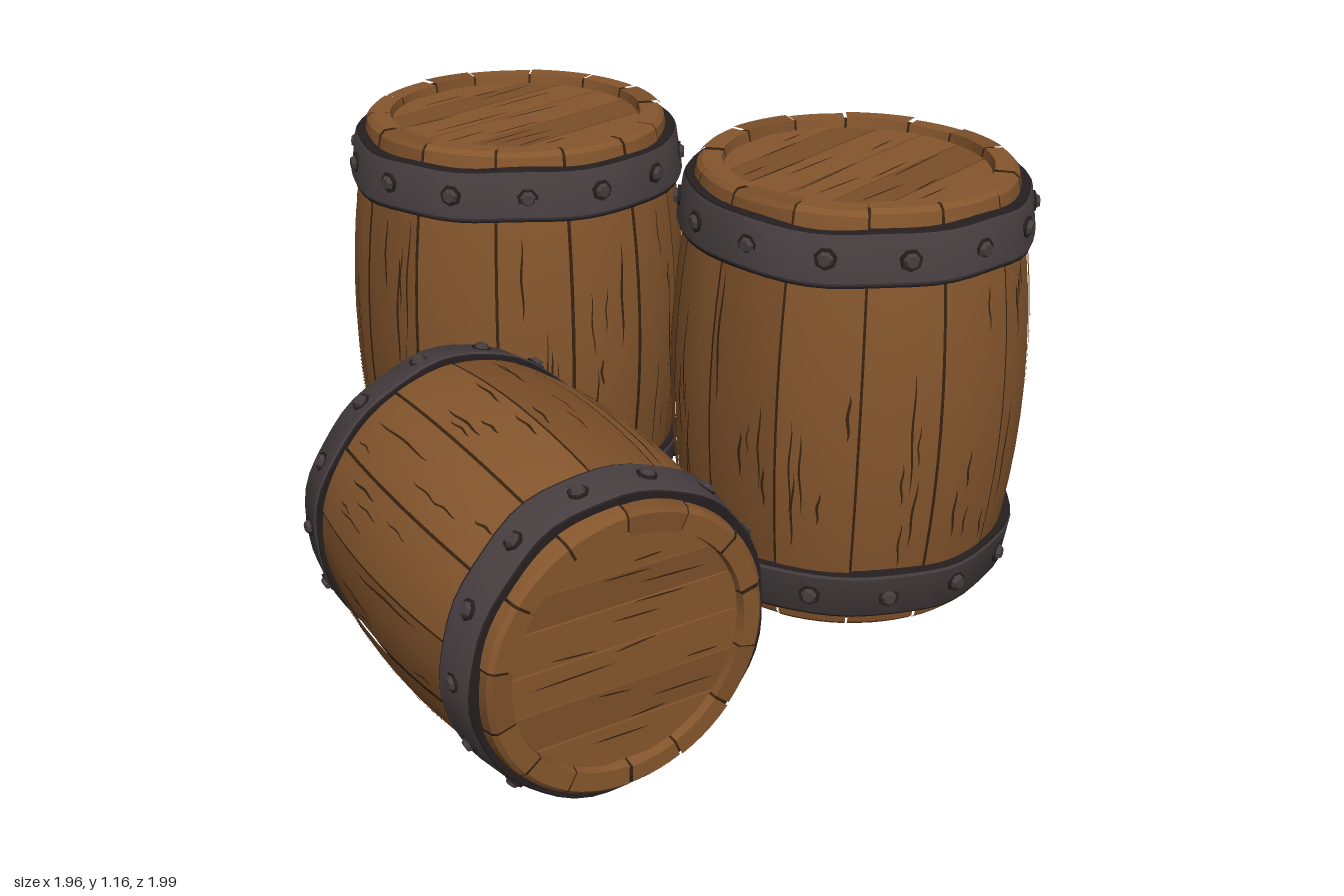
import * as THREE from 'three';
import { mergeGeometries, toCreasedNormals } from 'three/addons/utils/BufferGeometryUtils.js';

const mat = (name, color, side = THREE.FrontSide) => {
  const m = new THREE.MeshStandardMaterial({ color, side });
  m.name = name;
  return m;
};

const HALF = 0.5725;      // half the barrel height
const STAVES = 14;
const LID_R = 0.338;      // radius of the recessed lid
const LID_Y = 0.545;      // height of the lid surface

// Bulging outline of the barrel
const bulge = (y) => 0.473 - 0.066 * (y / HALF) ** 2;

function seeded(seed) {
  let s = seed;
  return () => {
    s = (s * 16807) % 2147483647;
    return s / 2147483647;
  };
}

function mesh(name, geometry, material) {
  const m = new THREE.Mesh(geometry, material);
  m.name = name;
  return m;
}

// Thin ribbon that tapers to both ends; place(t, side) gives a point
function ribbon(place, n = 6) {
  const pos = [], index = [];
  for (let i = 0; i <= n; i++) {
    const t = i / n, w = Math.sin(Math.PI * t) ** 0.6;
    pos.push(...place(t, -w), ...place(t, w));
    if (i < n) index.push(2 * i, 2 * i + 1, 2 * i + 2, 2 * i + 1, 2 * i + 3, 2 * i + 2);
  }
  const g = new THREE.BufferGeometry();
  g.setAttribute('position', new THREE.Float32BufferAttribute(pos, 3));
  g.setIndex(index);
  g.computeVertexNormals();
  return g;
}

// Closed outline of a stave, with rims at both ends
function staveProfile(inset, half, rimInner, lidY) {
  const pts = [[rimInner, -lidY], [rimInner + 0.008, -half], [bulge(half) - inset - 0.01, -half]];
  for (let i = 0; i <= 12; i++) {
    const y = (half - 0.012) * (i / 6 - 1);
    pts.push([bulge(y) - inset, y]);
  }
  pts.push([bulge(half) - inset - 0.01, half], [rimInner + 0.008, half], [rimInner, lidY]);
  return pts.map(([x, y]) => new THREE.Vector2(x, y));
}

// Lid board: slice of a disc between two parallel cuts
function boardGeometry(z0, z1) {
  const r = LID_R + 0.004, a0 = Math.asin(z0 / r), a1 = Math.asin(z1 / r), pts = [];
  for (let i = 0; i <= 8; i++) {
    const a = a0 + (a1 - a0) * i / 8;
    pts.push(new THREE.Vector2(r * Math.cos(a), r * Math.sin(a)));
  }
  for (let i = 8; i >= 0; i--) pts.push(new THREE.Vector2(-pts[i].x, pts[i].y));
  const g = new THREE.ExtrudeGeometry(new THREE.Shape(pts), { depth: 0.012, bevelEnabled: false });
  return g.rotateX(-Math.PI / 2).translate(0, LID_Y - 0.012, 0);
}

// Hammered look: gentle waves in height and radius around a hoop
function hammer(g, phase) {
  const p = g.attributes.position;
  for (let i = 0; i < p.count; i++) {
    const a = Math.atan2(p.getX(i), p.getZ(i));
    const k = 1 + 0.006 * Math.sin(5 * a + phase) + 0.004 * Math.sin(11 * a + 2 * phase);
    const dy = 0.004 * Math.sin(4 * a + phase) + 0.003 * Math.sin(9 * a - phase);
    p.setXYZ(i, p.getX(i) * k, p.getY(i) + dy, p.getZ(i) * k);
  }
  g.computeVertexNormals();
  return toCreasedNormals(g, 0.5);
}

function hoop(mats, side, phase) {
  const group = new THREE.Group();
  group.name = side > 0 ? 'upperHoop' : 'lowerHoop';
  const lathe = (pts) => {
    const list = pts.map(([r, y]) => new THREE.Vector2(r, side * y));
    if (side < 0) list.reverse();
    return hammer(new THREE.LatheGeometry(list, 56), phase);
  };
  group.add(mesh('hoopFace', lathe([[0.459, 0.398], [0.462, 0.405], [0.445, 0.516], [0.441, 0.522]]), mats.iron));
  // Dark edges of the iron
  group.add(mesh('hoopInnerEdge', lathe([[0.42, 0.392], [0.457, 0.392], [0.459, 0.398]]), mats.ironEdge));
  group.add(mesh('hoopOuterEdge', lathe([[0.441, 0.522], [0.438, 0.527], [0.4, 0.527]]), mats.ironEdge));
  // Faceted rivets with a dark foot
  for (let i = 0; i < STAVES; i++) {
    const a = (i + 0.45) / STAVES * Math.PI * 2;
    const rivet = new THREE.Group();
    rivet.name = 'rivet';
    const foot = mesh('rivetFoot', new THREE.CylinderGeometry(0.028, 0.029, 0.008, 7), mats.ironEdge);
    const head = mesh('rivetHead', toCreasedNormals(new THREE.CylinderGeometry(0.015, 0.025, 0.018, 7), 0.3), mats.iron);
    foot.position.y = 0.001;
    head.position.y = 0.007;
    rivet.add(foot, head);
    rivet.rotation.set(Math.PI / 2, 0, -a, 'ZXY');
    rivet.rotation.set(Math.PI / 2, a, 0, 'YXZ');
    rivet.position.set(0.453 * Math.sin(a), side * 0.46, 0.453 * Math.cos(a));
    group.add(rivet);
  }
  return group;
}

function lid(mats, rnd) {
  const group = new THREE.Group();
  group.name = 'lid';
  const cuts = [-0.337, -0.215, -0.1, 0.02, 0.14, 0.235, 0.337];
  for (let i = 0; i < cuts.length - 1; i++) {
    group.add(mesh('lidBoard', boardGeometry(cuts[i] + 0.0025, cuts[i + 1] - 0.0025), i % 3 === 1 ? mats.woodDark : mats.wood));
  }
  // Grain cracks along the boards
  const cracks = [];
  for (let i = 0; i < 13; i++) {
    const z = -0.28 + 0.56 * (i + rnd() * 0.6) / 13, reach = Math.sqrt(0.32 ** 2 - z * z);
    const len = reach * (0.35 + 0.6 * rnd()), x0 = -reach + rnd() * (2 * reach - len);
    const slope = (rnd() - 0.5) * 0.03;
    cracks.push(ribbon((t, s) => [x0 + len * t, LID_Y + 0.002, z + slope * t + s * 0.0025]));
  }
  group.add(mesh('lidCracks', mergeGeometries(cracks), mats.groove));
  return group;
}

function barrel(name, mats, seed) {
  const group = new THREE.Group();
  group.name = name;
  const rnd = seeded(seed);

  // Dark core seen in the gaps between the staves
  const core = staveProfile(0.012, 0.56, LID_R + 0.008, 0.53);
  core.unshift(new THREE.Vector2(0, -0.53));
  core.push(new THREE.Vector2(0, 0.53));
  group.add(mesh('core', toCreasedNormals(new THREE.LatheGeometry(core, 56), 0.6), mats.groove));

  const cracks = [];
  const step = Math.PI * 2 / STAVES;
  let start = 0;
  for (let i = 0; i < STAVES; i++) {
    // Staves of slightly uneven width, depth and length
    const end = (i + 1) * step + (i < STAVES - 1 ? (rnd() - 0.5) * 0.1 : 0);
    const inset = (rnd() - 0.5) * 0.008, half = HALF - rnd() * 0.007;
    const gap = 0.007 + rnd() * 0.004;
    const g = new THREE.LatheGeometry(staveProfile(inset, half, LID_R, 0.53), 5, start + gap, end - start - 2 * gap);
    group.add(mesh('stave', toCreasedNormals(g, 0.6), i % 4 === 2 ? mats.woodDark : mats.wood));

    // Grain cracks running up the stave
    for (let c = 0; c < 5; c++) {
      const len = 0.08 + 0.28 * rnd() ** 1.5, y0 = -0.39 + rnd() * (0.78 - len);
      const a0 = start + (end - start) * (0.12 + 0.76 * rnd());
      const width = 0.004 + 0.005 * rnd(), lean = (rnd() - 0.5) * 0.04;
      cracks.push(ribbon((t, s) => {
        const y = y0 + len * t, r = bulge(y) - inset + 0.0025;
        const a = a0 + lean * t + 0.006 * Math.sin(9 * t) + s * width;
        return [r * Math.sin(a), y, r * Math.cos(a)];
      }, 8));
    }
    start = end;
  }
  group.add(mesh('staveCracks', mergeGeometries(cracks), mats.groove));

  const topLid = lid(mats, rnd), bottomLid = lid(mats, rnd);
  bottomLid.rotation.x = Math.PI;
  group.add(topLid, bottomLid, hoop(mats, 1, seed), hoop(mats, -1, seed + 2));
  return group;
}

export function createModel() {
  const model = new THREE.Group();
  model.name = 'barrels';
  const mats = {
    wood: mat('oak', 0x85562d),
    woodDark: mat('darkOak', 0x7c4f29),
    groove: mat('groove', 0x38220f, THREE.DoubleSide),
    iron: mat('iron', 0x463d3f),
    ironEdge: mat('ironEdge', 0x261f20),
  };

  const back = barrel('backBarrel', mats, 17);
  back.position.set(-0.035, 0.5925, -0.52);
  back.rotation.y = 0.27;

  const front = barrel('frontBarrel', mats, 91);
  front.position.set(0.503, 0.5925, 0.325);
  front.rotation.y = 0.33;

  // Smaller barrel lying on its side, one end to the front
  const lying = barrel('lyingBarrel', mats, 53);
  lying.scale.setScalar(0.845);
  lying.position.set(-0.578, 0.408, 0.515);
  lying.rotation.x = Math.PI / 2;

  model.add(back, front, lying);
  return model;
}
